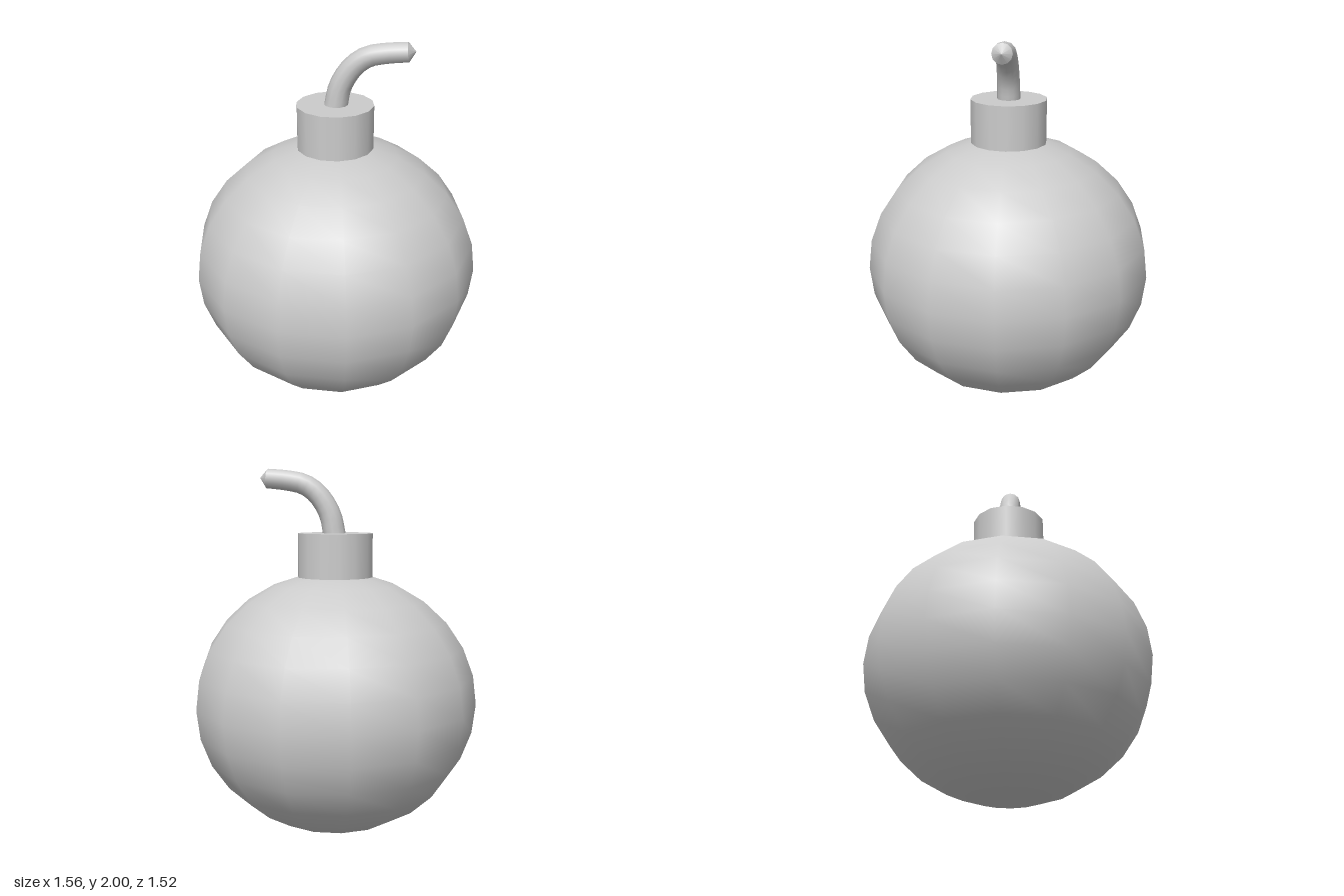
import * as THREE from 'three';

const SIDES = 14;

export function createModel() {
  const model = new THREE.Group();
  const material = new THREE.MeshStandardMaterial({ color: 0xcccccc });
  const add = (name, geometry, parent = model) => {
    const mesh = new THREE.Mesh(geometry, material);
    mesh.name = name;
    parent.add(mesh);
    return mesh;
  };

  // Slightly flattened round body
  const body = new THREE.SphereGeometry(0.78, SIDES, SIDES);
  body.scale(1, 0.722 / 0.78, 1);
  add('body', body).position.y = 0.724;

  // Short neck, with a corner facing +x like the body
  const neck = new THREE.CylinderGeometry(0.205, 0.205, 0.24, SIDES, 1, false, Math.PI / 2);
  add('neck', neck).position.y = 1.535;

  // Bent fuse, tapering gently towards its end
  const fuse = new THREE.Group();
  fuse.name = 'fuse';
  model.add(fuse);
  const path = new THREE.CatmullRomCurve3([
    [0.003, 1.64], [0.022, 1.74], [0.058, 1.815], [0.107, 1.875],
    [0.17, 1.916], [0.26, 1.936], [0.372, 1.947],
  ].map(([x, y]) => new THREE.Vector3(x, y, 0)));
  const rings = 12, radial = 12, startRadius = 0.062, endRadius = 0.052;
  const cord = new THREE.TubeGeometry(path, rings, startRadius, radial);
  const pos = cord.attributes.position;
  const v = new THREE.Vector3();
  for (let i = 0; i < pos.count; i++) {
    const t = Math.floor(i / (radial + 1)) / rings;
    const centre = path.getPointAt(t);
    v.fromBufferAttribute(pos, i).sub(centre);
    v.multiplyScalar(THREE.MathUtils.lerp(1, endRadius / startRadius, t)).add(centre);
    pos.setXYZ(i, v.x, v.y, v.z);
  }
  add('fuseCord', cord, fuse);

  // Blunt pointed tip closing the fuse
  const tipHeight = 0.038;
  const tip = new THREE.ConeGeometry(endRadius, tipHeight, radial, 1, true);
  tip.translate(0, tipHeight / 2, 0);
  const tipMesh = add('fuseTip', tip, fuse);
  tipMesh.position.copy(path.getPointAt(1));
  tipMesh.quaternion.setFromUnitVectors(new THREE.Vector3(0, 1, 0), path.getTangentAt(1));

  return model;
}
